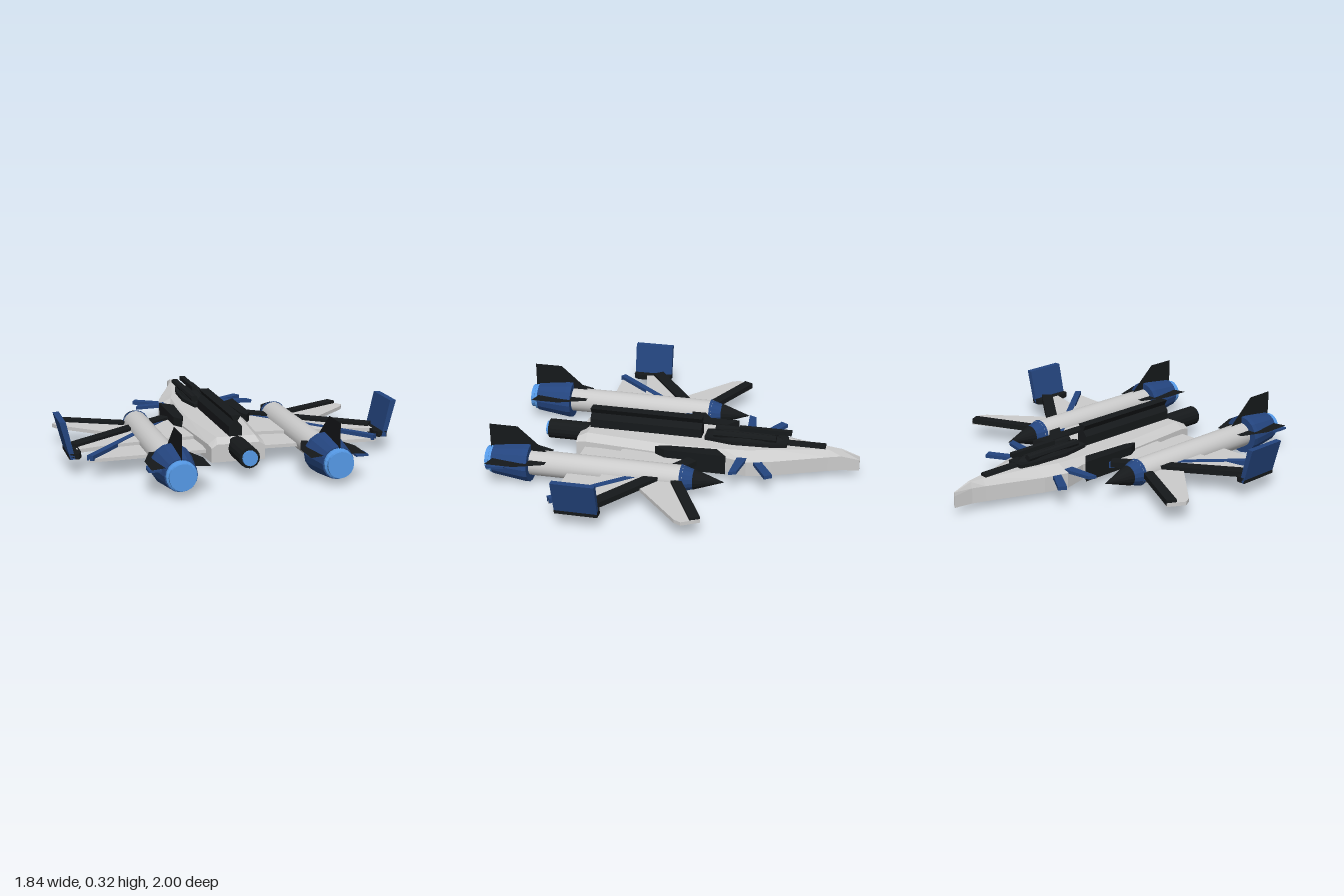
import * as THREE from 'three';

const mat = (color, side = THREE.FrontSide) =>
  new THREE.MeshStandardMaterial({ color, flatShading: true, side });
const GREY = mat(0xcccccc);
const BLUE = mat(0x24457f);
const DARK = mat(0x16191b);
const DARK_THIN = mat(0x16191b, THREE.DoubleSide);
const GLOW = mat(0x5599e6);
const SMOOTH_GREY = new THREE.MeshStandardMaterial({ color: 0xcccccc });

export function createModel() {
  const root = new THREE.Group();
  root.name = 'starfighter';

  const add = (name, geo, material, x = 0, y = 0, z = 0) => {
    const m = new THREE.Mesh(geo, material);
    m.name = name;
    m.position.set(x, y, z);
    root.add(m);
    return m;
  };
  const shapeOf = pts => new THREE.Shape(pts.map(p => new THREE.Vector2(p[0], p[1])));

  // Flat plate from an outline in x,z, between heights y0 and y1
  const plate = (name, pts, y0, y1, material, s = 1) => {
    const g = new THREE.ExtrudeGeometry(shapeOf(pts.map(([x, z]) => [x * s, z])),
      { depth: y1 - y0, bevelEnabled: false });
    g.rotateX(Math.PI / 2);
    return add(name, g, material, 0, y1, 0);
  };
  // Straight bar lying along a line in x,z
  const bar = (name, a, b, w, y0, y1, material, s) => {
    const dx = b[0] - a[0], dz = b[1] - a[1], l = Math.hypot(dx, dz);
    const nx = -dz / l * w / 2, nz = dx / l * w / 2;
    plate(name, [[a[0] + nx, a[1] + nz], [b[0] + nx, b[1] + nz],
      [b[0] - nx, b[1] - nz], [a[0] - nx, a[1] - nz]], y0, y1, material, s);
  };
  // Profile in x,y run along z
  const run = (name, pts, z0, z1, material) =>
    add(name, new THREE.ExtrudeGeometry(shapeOf(pts), { depth: z1 - z0, bevelEnabled: false }),
      material, 0, 0, z0);
  // Turned part along z from [radius, z] points, running from front to back
  const turned = (name, pts, sides, material, x, y) => {
    const g = new THREE.LatheGeometry(pts.map(p => new THREE.Vector2(p[0], p[1])), sides);
    g.rotateX(Math.PI / 2);
    return add(name, g, material, x, y, 0);
  };

  // Hull lofted from six-sided sections: z, half width, top half width, top height
  const stations = [
    [-1, 0.004, 0.002, 0.135], [-0.9, 0.02, 0.008, 0.168], [-0.83, 0.045, 0.02, 0.17],
    [-0.53, 0.165, 0.085, 0.17], [-0.4, 0.2, 0.125, 0.17], [-0.26, 0.165, 0.135, 0.17],
    [0.08, 0.185, 0.145, 0.17], [0.52, 0.15, 0.105, 0.17], [0.575, 0.145, 0.115, 0.145],
  ];
  const pos = [], idx = [];
  for (const [z, w, t, h] of stations) {
    const mid = Math.min(h - 0.02, 0.135);
    pos.push(-w, 0.05, z, w, 0.05, z, w, mid, z, t, h, z, -t, h, z, -w, mid, z);
  }
  const last = (stations.length - 1) * 6;
  for (let i = 0; i < last; i += 6)
    for (let j = 0; j < 6; j++) {
      const a = i + j, b = i + (j + 1) % 6;
      idx.push(a, b, b + 6, a, b + 6, a + 6);
    }
  for (let j = 1; j < 5; j++) idx.push(0, j + 1, j, last, last + j, last + j + 1);
  const hull = new THREE.BufferGeometry();
  hull.setAttribute('position', new THREE.Float32BufferAttribute(pos, 3));
  hull.setIndex(idx);
  hull.computeVertexNormals();
  add('hull', hull, GREY);

  // Dorsal spine with flared top, and thin nose rail
  run('dorsalSpine', [[-0.035, 0.16], [0.035, 0.16], [0.035, 0.22], [0.01, 0.25], [0.028, 0.282],
    [-0.028, 0.282], [-0.01, 0.25], [-0.035, 0.22]], -0.12, 0.52, DARK);
  run('noseRail', [[-0.024, 0.16], [0.024, 0.16], [0.016, 0.188], [-0.016, 0.188]], -0.81, -0.5, DARK);

  // Cockpit: low base, dome, twin tubes and top rail
  plate('cockpitBase', [[-0.05, -0.6], [0.05, -0.6], [0.07, -0.5], [0.08, -0.3], [0.05, -0.14],
    [-0.05, -0.14], [-0.08, -0.3], [-0.07, -0.5]], 0.16, 0.19, DARK);
  const dome = new THREE.SphereGeometry(1, 12, 6, 0, Math.PI * 2, 0, Math.PI / 2);
  dome.scale(0.068, 0.05, 0.22);
  add('canopy', dome, DARK, 0, 0.175, -0.37);
  for (const s of [-1, 1])
    turned('cockpitTube', [[0, -0.54], [0.02, -0.54], [0.02, -0.19], [0, -0.19]], 8, DARK, s * 0.035, 0.208);
  add('cockpitRail', new THREE.BoxGeometry(0.028, 0.024, 0.29), DARK, 0, 0.237, -0.475);

  // Tail nozzle
  turned('tailNozzle', [[0, 0.5], [0.055, 0.54], [0.055, 0.77], [0, 0.77]], 16, DARK, 0, 0.12);
  turned('tailGlow', [[0, 0.76], [0.04, 0.76], [0.04, 0.785], [0, 0.785]], 16, GLOW, 0, 0.12);

  for (const s of [-1, 1]) {
    // Side intakes
    plate('intake', [[0.15, -0.23], [0.22, -0.29], [0.22, 0.05], [0.185, 0.11], [0.165, 0.05]],
      0.06, 0.172, DARK, s);

    // Small forward fins
    plate('canard', [[0.16, -0.48], [0.19, -0.49], [0.305, -0.56], [0.33, -0.52], [0.16, -0.42]],
      0.115, 0.135, BLUE, s);
    plate('canard', [[0.17, -0.4], [0.33, -0.37], [0.35, -0.33], [0.17, -0.345]],
      0.13, 0.148, BLUE, s);

    // Forward-swept wing with dark leading bar
    plate('forwardWing', [[0.15, 0.02], [0.3, 0], [0.48, -0.09], [0.81, -0.27], [0.86, -0.18],
      [0.84, -0.14], [0.53, 0.14], [0.15, 0.2]], 0.1, 0.12, GREY, s);
    bar('forwardWingBar', [0.47, -0.07], [0.82, -0.245], 0.055, 0.105, 0.135, DARK, s);

    // Swept middle wing
    plate('middleWing', [[0.17, -0.1], [0.25, -0.12], [0.82, 0.32], [0.82, 0.4], [0.6, 0.35], [0.17, 0.3]],
      0.105, 0.125, GREY, s);
    bar('middleWingBar', [0.23, -0.11], [0.83, 0.33], 0.065, 0.11, 0.14, DARK, s);

    // Rear delta wing with blue leading bar
    plate('deltaWing', [[0.14, -0.08], [0.22, -0.1], [0.78, 0.54], [0.16, 0.52]],
      0.09, 0.108, GREY, s);
    bar('deltaWingBar', [0.22, -0.12], [0.775, 0.54], 0.035, 0.1, 0.128, BLUE, s);

    // Canted wing-tip plate on its foot
    plate('tipFoot', [[0.82, 0.25], [0.87, 0.25], [0.87, 0.48], [0.82, 0.48], [0.805, 0.45], [0.805, 0.28]],
      0.095, 0.125, DARK, s);
    run('tipPlate', [[0.84, 0.095], [0.865, 0.095], [0.918, 0.295], [0.885, 0.295]]
      .map(([x, y]) => [x * s, y]), 0.25, 0.48, BLUE);

    // Engine pod: body, collar, spike, tail cowl and exhaust
    const x = s * 0.405, y = 0.115;
    turned('engineBody', [[0, -0.1], [0.07, -0.1], [0.07, 0.77], [0, 0.77]], 24, SMOOTH_GREY, x, y);
    turned('engineCollar', [[0.052, -0.16], [0.075, -0.085], [0, -0.08]], 16, BLUE, x, y);
    turned('engineSpike', [[0, -0.32], [0.056, -0.155], [0, -0.155]], 16, DARK, x, y);
    turned('engineCowl', [[0, 0.75], [0.108, 0.75], [0.108, 0.78], [0.084, 0.96], [0, 0.96]], 16, BLUE, x, y);
    turned('exhaustGlow', [[0, 0.95], [0.078, 0.95], [0.078, 0.975], [0.068, 0.98], [0.068, 1], [0, 1]],
      20, GLOW, x, y);

    // Thin engine fins: one upright, two level
    const upright = new THREE.ShapeGeometry(shapeOf([[-0.65, 0.175], [-0.98, 0.175], [-0.98, 0.325], [-0.82, 0.325]]));
    upright.rotateY(Math.PI / 2);
    add('uprightFin', upright, DARK_THIN, x, 0, 0);
    for (const t of [-1, 1]) {
      const level = new THREE.ShapeGeometry(shapeOf(
        [[0.04, 0.65], [0.09, 0.65], [0.148, 0.81], [0.148, 0.97], [0.04, 0.94]].map(([a, b]) => [a * t, b])));
      level.rotateX(Math.PI / 2);
      add('levelFin', level, DARK_THIN, x, 0.155, 0);
    }
    // Outer cowl flap
    plate('cowlFlap', [[0.5, 0.86], [0.555, 0.86], [0.565, 0.9], [0.565, 0.96], [0.5, 0.96]], 0.14, 0.15, BLUE, s);
  }
  return root;
}
